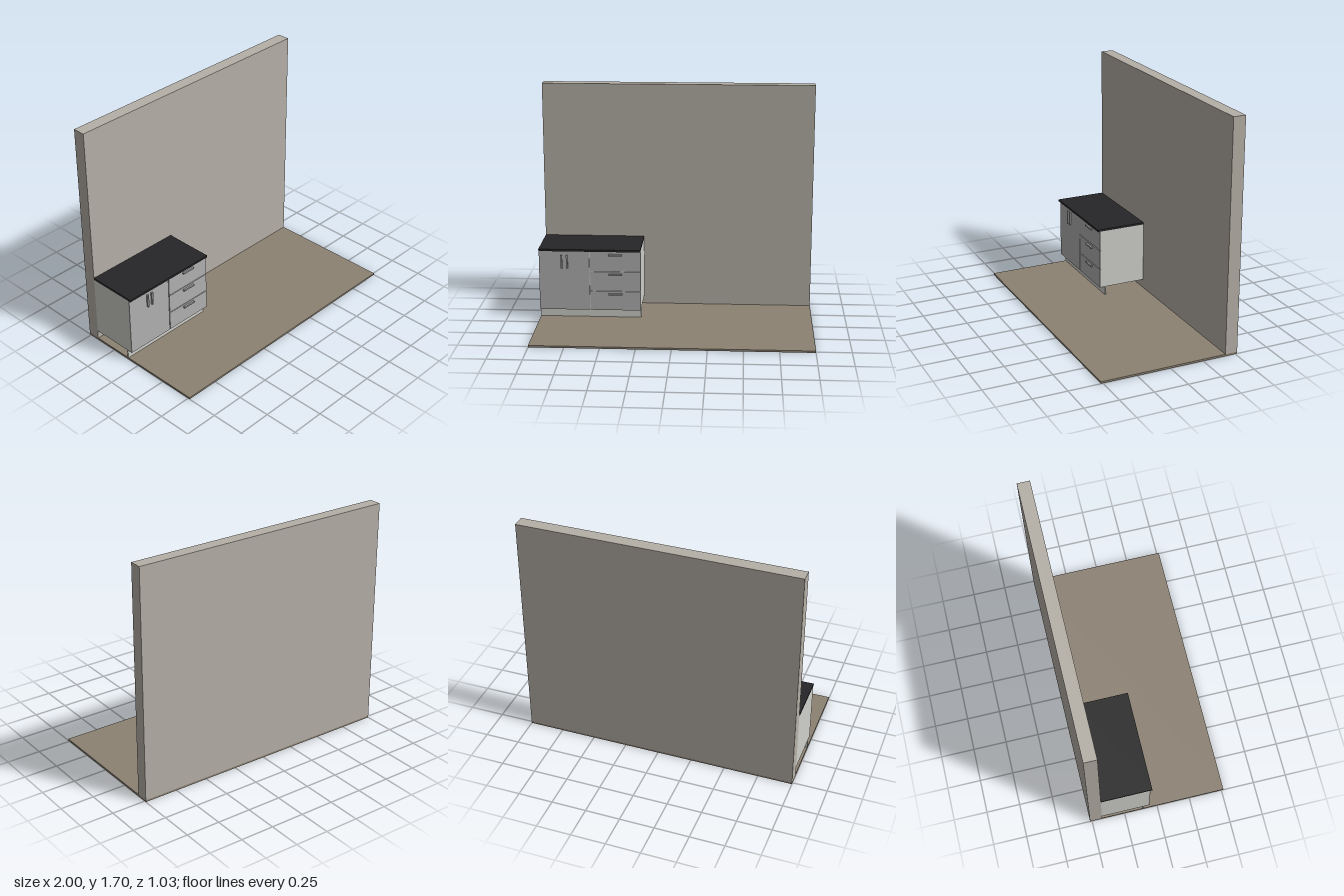
import * as THREE from 'three';

const mat = (color) => new THREE.MeshStandardMaterial({ color });

export function createModel() {
  const model = new THREE.Group();
  model.name = 'kitchenUnitWithWall';
  const wallMat = mat(0xb6b0a7), floorMat = mat(0x8c8273), bodyMat = mat(0xcfcfca);
  const frontMat = mat(0xb1b1b2), topMat = mat(0x262628), handleMat = mat(0x9c9c9e);

  // Box given by its lower and upper limits on each axis
  function box(parent, name, material, [x0, x1], [y0, y1], [z0, z1]) {
    const mesh = new THREE.Mesh(new THREE.BoxGeometry(x1 - x0, y1 - y0, z1 - z0), material);
    mesh.position.set((x0 + x1) / 2, (y0 + y1) / 2, (z0 + z1) / 2);
    mesh.name = name;
    parent.add(mesh);
  }

  // Room shell
  box(model, 'floor', floorMat, [-1, 1], [0, 0.014], [-0.515, 0.515]);
  box(model, 'wall', wallMat, [-1, 1], [0.014, 1.7], [-0.515, -0.423]);

  // Cabinet body, plinth and worktop
  const cabinet = new THREE.Group();
  cabinet.name = 'baseCabinet';
  model.add(cabinet);
  const left = -1, right = -0.256, split = -0.628, gap = 0.003;
  const front = [-0.07, -0.06], grip = [-0.06, -0.046];
  box(cabinet, 'carcass', bodyMat, [left, right], [0.08, 0.53], [-0.423, -0.07]);
  box(cabinet, 'plinth', bodyMat, [left, right], [0.014, 0.08], [-0.11, -0.1]);
  box(cabinet, 'worktop', topMat, [left, right], [0.53, 0.545], [-0.423, -0.046]);

  // Pair of doors meeting at the middle, with upright handles
  const middle = (left + split) / 2;
  for (const side of [-1, 1]) {
    const edge = side < 0 ? left : split - gap;
    box(cabinet, 'door', frontMat, [Math.min(edge, middle), Math.max(edge, middle)], [0.08, 0.53], front);
    const x = middle + side * 0.02;
    box(cabinet, 'doorHandle', handleMat, [x - 0.006, x + 0.006], [0.4, 0.5], grip);
  }

  // Three drawers with level handles
  for (let i = 0; i < 3; i++) {
    const y0 = 0.08 + i * 0.15;
    const y1 = i < 2 ? y0 + 0.15 - 2 * gap : 0.53;
    box(cabinet, 'drawerFront', frontMat, [split + gap, right], [y0, y1], front);
    box(cabinet, 'drawerHandle', handleMat, [-0.49, -0.39], [y0 + 0.118, y0 + 0.13], grip);
  }
  return model;
}
